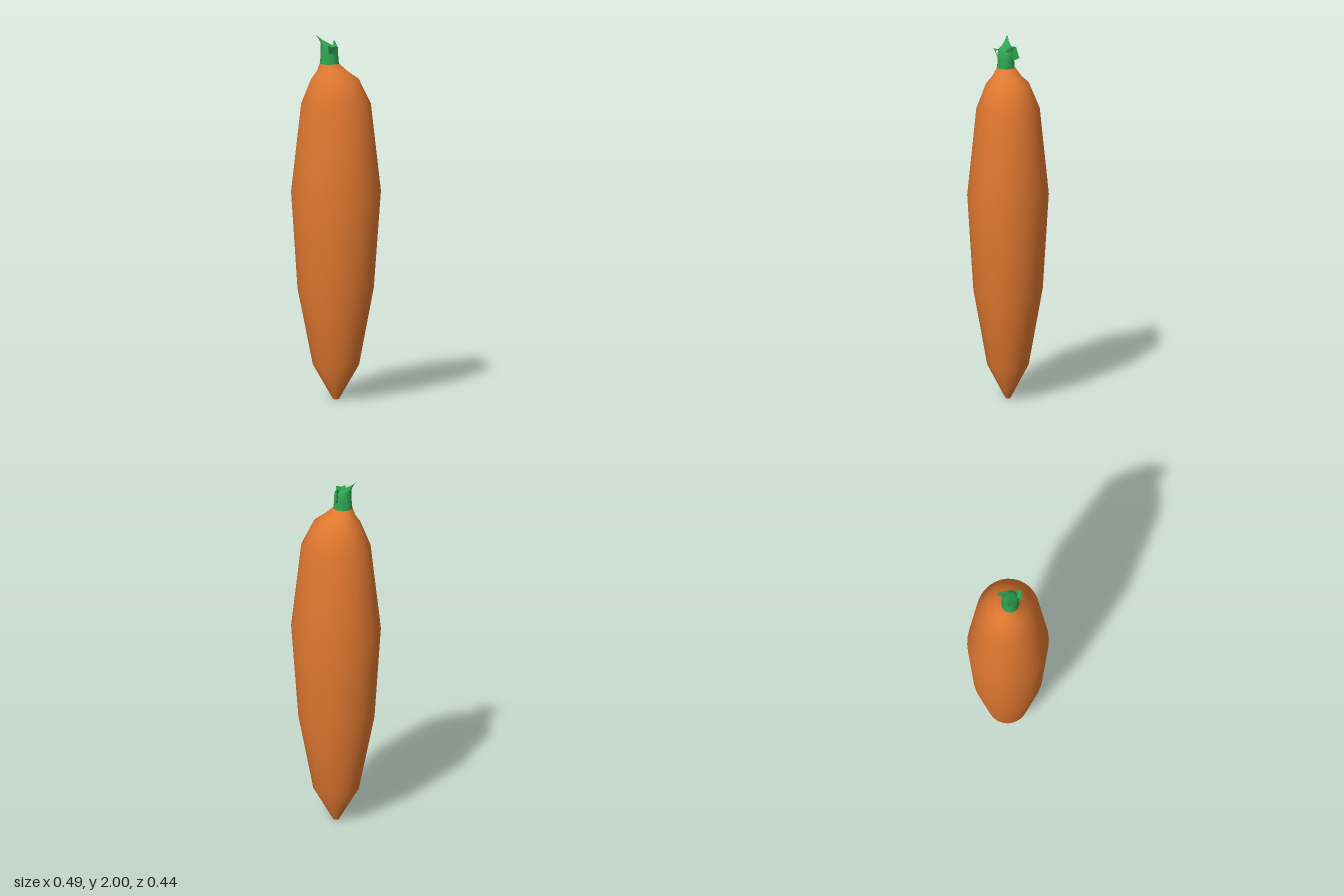
import * as THREE from 'three';

// Smooth skin through elliptical rings [y, centreX, centreZ, radiusX, radiusZ, tilt], capped at both ends
function loft(rings, sides) {
  const pos = [], index = [];
  const ring = ([y, cx, cz, rx, rz, tilt = 0]) => {
    for (let i = 0; i < sides; i++) {
      const a = (i / sides) * Math.PI * 2;
      pos.push(cx + rx * Math.cos(a), y - tilt * Math.cos(a), cz + rz * Math.sin(a));
    }
  };
  rings.forEach(ring);
  for (let j = 0; j < rings.length - 1; j++) {
    for (let i = 0; i < sides; i++) {
      const n = (i + 1) % sides;
      const a = j * sides + i, b = j * sides + n, c = a + sides, d = b + sides;
      index.push(a, c, b, b, c, d);
    }
  }
  // End caps keep their own vertices so the rims stay crisp
  [rings[0], rings[rings.length - 1]].forEach((r, end) => {
    const start = pos.length / 3;
    ring(r);
    for (let i = 1; i < sides - 1; i++) {
      if (end) index.push(start, start + i + 1, start + i);
      else index.push(start, start + i, start + i + 1);
    }
  });
  const g = new THREE.BufferGeometry();
  g.setAttribute('position', new THREE.Float32BufferAttribute(pos, 3));
  g.setIndex(index);
  g.computeVertexNormals();
  return g;
}

// Thin leaf scrap: a fan of triangles around its first point
function scrap(points) {
  const pos = [];
  for (let i = 1; i < points.length - 1; i++) pos.push(...points[0], ...points[i], ...points[i + 1]);
  const g = new THREE.BufferGeometry();
  g.setAttribute('position', new THREE.Float32BufferAttribute(pos, 3));
  g.computeVertexNormals();
  return g;
}

export function createModel() {
  const orange = new THREE.MeshStandardMaterial({ color: 0xe07830 });
  orange.name = 'carrotOrange';
  const green = new THREE.MeshStandardMaterial({ color: 0x2ea450, side: THREE.DoubleSide });
  green.name = 'stemGreen';

  const model = new THREE.Group();
  model.name = 'carrot';
  const add = (name, geometry, material, parent = model) => {
    const mesh = new THREE.Mesh(geometry, material);
    mesh.name = name;
    parent.add(mesh);
  };

  // Root, leaning slightly off centre towards the crown
  add('root', loft([
    [0, 0, 0, 0.016, 0.014],
    [0.19, 0, 0, 0.126, 0.113],
    [0.61, -0.002, 0, 0.208, 0.188],
    [1.14, 0, 0, 0.245, 0.221],
    [1.62, 0, 0, 0.19, 0.172],
    [1.755, -0.005, 0.003, 0.13, 0.118],
    [1.795, -0.018, 0.009, 0.087, 0.079],
    [1.842, -0.034, 0.017, 0.053, 0.048],
  ], 32), orange);

  // Stem, with its torn end drawn up to a point on one side
  add('stem', loft([
    [1.842, -0.034, 0.017, 0.052, 0.048],
    [1.89, -0.034, 0.017, 0.048, 0.045],
    [1.938, -0.034, 0.018, 0.047, 0.043, 0.008],
    [1.952, -0.05, 0.019, 0.035, 0.026, 0.012],
    [1.972, -0.077, 0.02, 0.019, 0.012, 0.012],
    [1.996, -0.106, 0.021, 0.004, 0.004, 0.003],
  ], 20), green);

  // Torn leaf scraps at the back and front of the stem
  const scraps = new THREE.Group();
  scraps.name = 'tornLeaves';
  model.add(scraps);
  add('backBlade', scrap([
    [-0.015, 1.87, 0], [-0.012, 1.945, 0.01], [-0.015, 1.965, -0.012],
    [-0.016, 1.962, -0.042], [-0.016, 1.935, -0.05], [-0.016, 1.9, -0.06],
    [-0.017, 1.9, -0.03],
  ]), green, scraps);
  add('backFold', scrap([
    [0.008, 1.94, 0.012], [-0.016, 1.965, -0.035], [-0.022, 1.915, -0.03], [0.005, 1.89, 0.005],
  ]), green, scraps);
  add('frontCurl', scrap([
    [-0.03, 1.89, 0.058], [0.012, 1.905, 0.052], [0.018, 1.945, 0.066],
    [-0.01, 1.94, 0.076], [-0.033, 1.948, 0.086],
  ]), green, scraps);
  add('frontLip', scrap([
    [-0.03, 1.94, 0.055], [-0.033, 1.948, 0.086], [-0.01, 1.94, 0.076],
    [0.018, 1.945, 0.066], [0.008, 1.955, 0.045],
  ]), green, scraps);
  return model;
}
